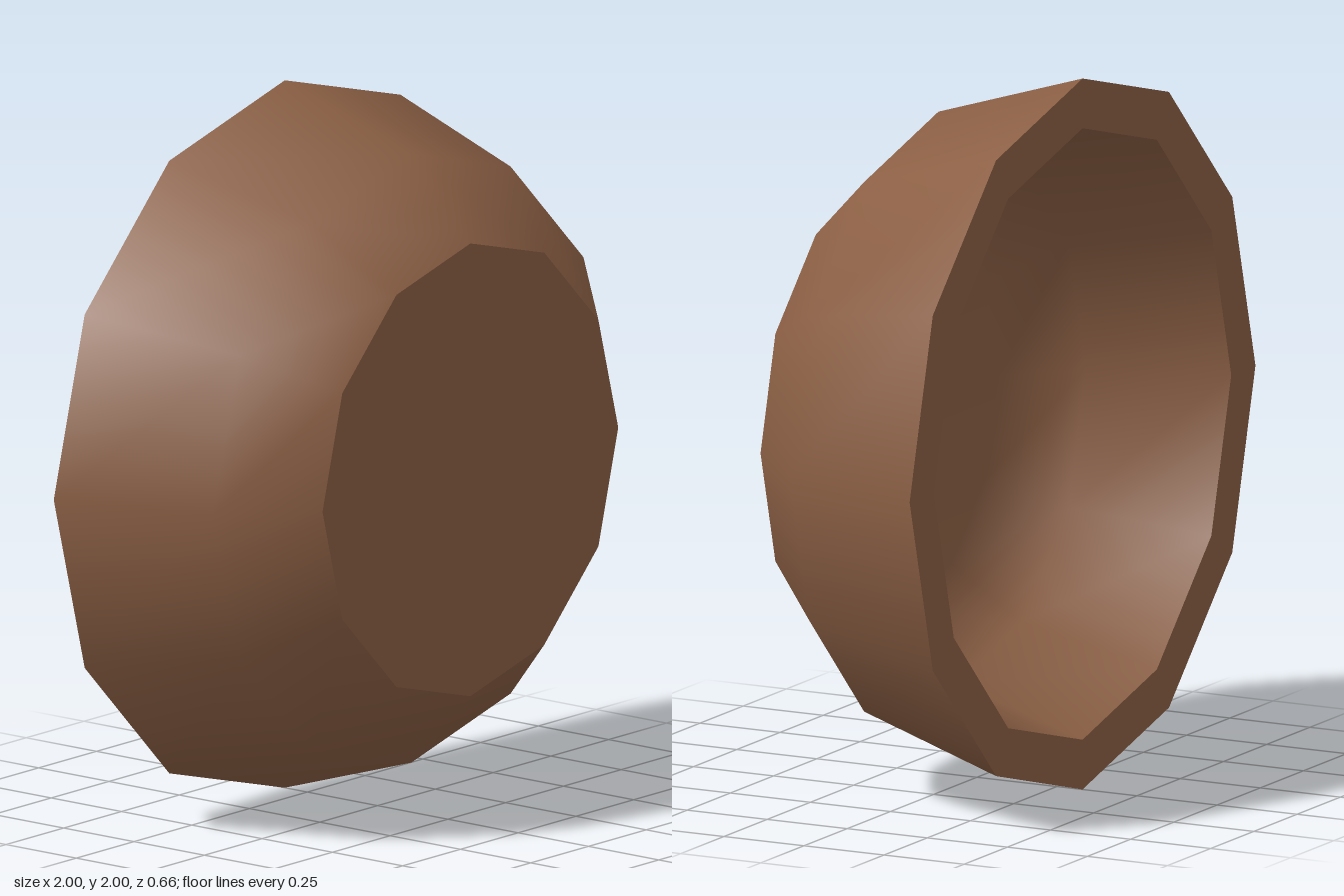
import * as THREE from 'three';

const SIDES = 12;

// Revolves a [radius, height] profile; height runs toward the open end (-z)
function ring(name, profile, material) {
  const points = profile.map(([r, h]) => new THREE.Vector2(r, h));
  const geometry = new THREE.LatheGeometry(points, SIDES);
  geometry.rotateX(-Math.PI / 2);
  const mesh = new THREE.Mesh(geometry, material);
  mesh.name = name;
  return mesh;
}

export function createModel() {
  const wood = new THREE.MeshStandardMaterial({ color: 0x8b5f44 });
  wood.name = 'brown wood';

  const bowl = new THREE.Group();
  bowl.name = 'bowl';

  // Separate surfaces keep the base and rim edges sharp, the walls smooth
  bowl.add(
    ring('base', [[0, -0.33], [0.64, -0.33]], wood),
    ring('outerWall', [[0.64, -0.33], [0.86, -0.12], [1, 0.33]], wood),
    ring('rim', [[1, 0.33], [0.86, 0.33]], wood),
    ring('innerWall', [[0.86, 0.33], [0.74, -0.06], [0.55, -0.23], [0, -0.23]], wood),
  );

  // Stand the bowl on its edge
  bowl.position.y = 1;
  const model = new THREE.Group();
  model.name = 'model';
  model.add(bowl);
  return model;
}
